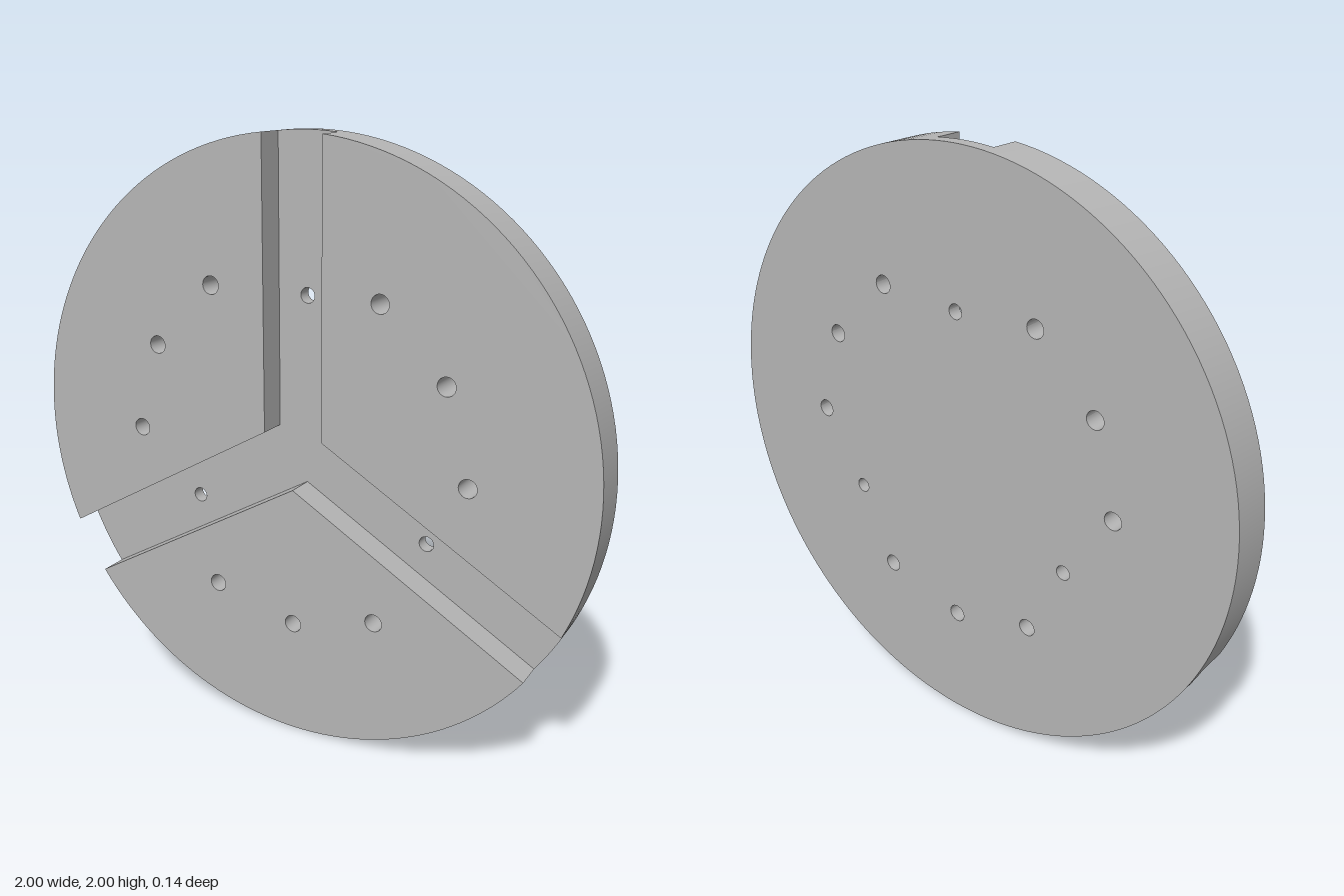
import * as THREE from 'three';

const R = 1, BACK = -0.0725, FLOOR = -0.025, FRONT = 0.0725;
const HALF = 0.104;                        // half width of a channel
const DEG = Math.PI / 180;
const EDGE = Math.asin(HALF / R) / DEG;    // half angle of a channel at the rim
const APEX = HALF / Math.sin(60 * DEG);    // distance of a pad's inner corner

const polar = (r, deg, c = [0, 0]) =>
  new THREE.Vector2(c[0] + r * Math.cos(deg * DEG), c[1] + r * Math.sin(deg * DEG));

// Points along an arc, from angle a to angle b
const arc = (r, a, b, n, c) =>
  Array.from({ length: n + 1 }, (_, i) => polar(r, a + (b - a) * i / n, c));

// Upright strip along a path, facing to the right of its direction
function wallGeometry(points, z0, z1) {
  const pos = [], index = [];
  points.forEach((p, i) => {
    pos.push(p.x, p.y, z0, p.x, p.y, z1);
    if (i) {
      const a = 2 * i - 2;
      index.push(a, a + 2, a + 3, a, a + 3, a + 1);
    }
  });
  const g = new THREE.BufferGeometry();
  g.setAttribute('position', new THREE.Float32BufferAttribute(pos, 3));
  g.setIndex(index);
  g.computeVertexNormals();
  return g;
}

// Flat face with holes
function faceGeometry(outline, holes, z) {
  const shape = new THREE.Shape(outline);
  shape.holes = holes.map(h => new THREE.Path(h));
  return new THREE.ShapeGeometry(shape).translate(0, 0, z);
}

export function createModel() {
  const model = new THREE.Group();
  model.name = 'slottedDisc';
  const metal = new THREE.MeshStandardMaterial({ color: 0xb6b6b6 });
  metal.name = 'grey metal';

  const disc = new THREE.Group();
  disc.name = 'disc';
  disc.position.y = 1;
  model.add(disc);
  const add = (name, geometry) => {
    const mesh = new THREE.Mesh(geometry, metal);
    mesh.name = name;
    disc.add(mesh);
  };

  const floorOutline = [], rim = [], floorHoles = [], allHoles = [];

  for (let k = 0; k < 3; k++) {
    const mid = 30 + 120 * k;              // middle of the raised pad
    const slot = mid + 60;                 // middle of the channel after it
    const padArc = arc(R, mid - 60 + EDGE, mid + 60 - EDGE, 48);
    const slotArc = arc(R, slot - EDGE, slot + EDGE, 6);
    const apex = polar(APEX, mid);

    // Raised pad with three larger holes
    const padHoles = [-30, 0, 30].map(d => {
      const c = polar(0.6, mid + d);
      return arc(0.03, 360, 0, 32, [c.x, c.y]);
    });
    add('padFace', faceGeometry([apex, ...padArc], padHoles, FRONT));
    add('padRim', wallGeometry(padArc, BACK, FRONT));
    add('channelWall', wallGeometry([apex, padArc[0]], FLOOR, FRONT));
    add('channelWall', wallGeometry([padArc[48], apex], FLOOR, FRONT));
    padHoles.forEach(h => add('padHole', wallGeometry(h, BACK, FRONT)));

    // Channel end and its smaller hole
    const c = polar(0.5, slot);
    const slotHole = arc(0.025, 360, 0, 32, [c.x, c.y]);
    add('channelRim', wallGeometry(slotArc, BACK, FLOOR));
    add('channelHole', wallGeometry(slotHole, BACK, FLOOR));

    floorOutline.push(apex, ...slotArc);
    rim.push(...padArc.slice(0, -1), ...slotArc.slice(0, -1));
    floorHoles.push(slotHole);
    allHoles.push(...padHoles, slotHole);
  }

  add('channelFloor', faceGeometry(floorOutline, floorHoles, FLOOR));
  // The disc is symmetric left to right, so the back is a turned face
  add('backFace', faceGeometry(rim, allHoles, -BACK).rotateY(Math.PI));
  return model;
}
